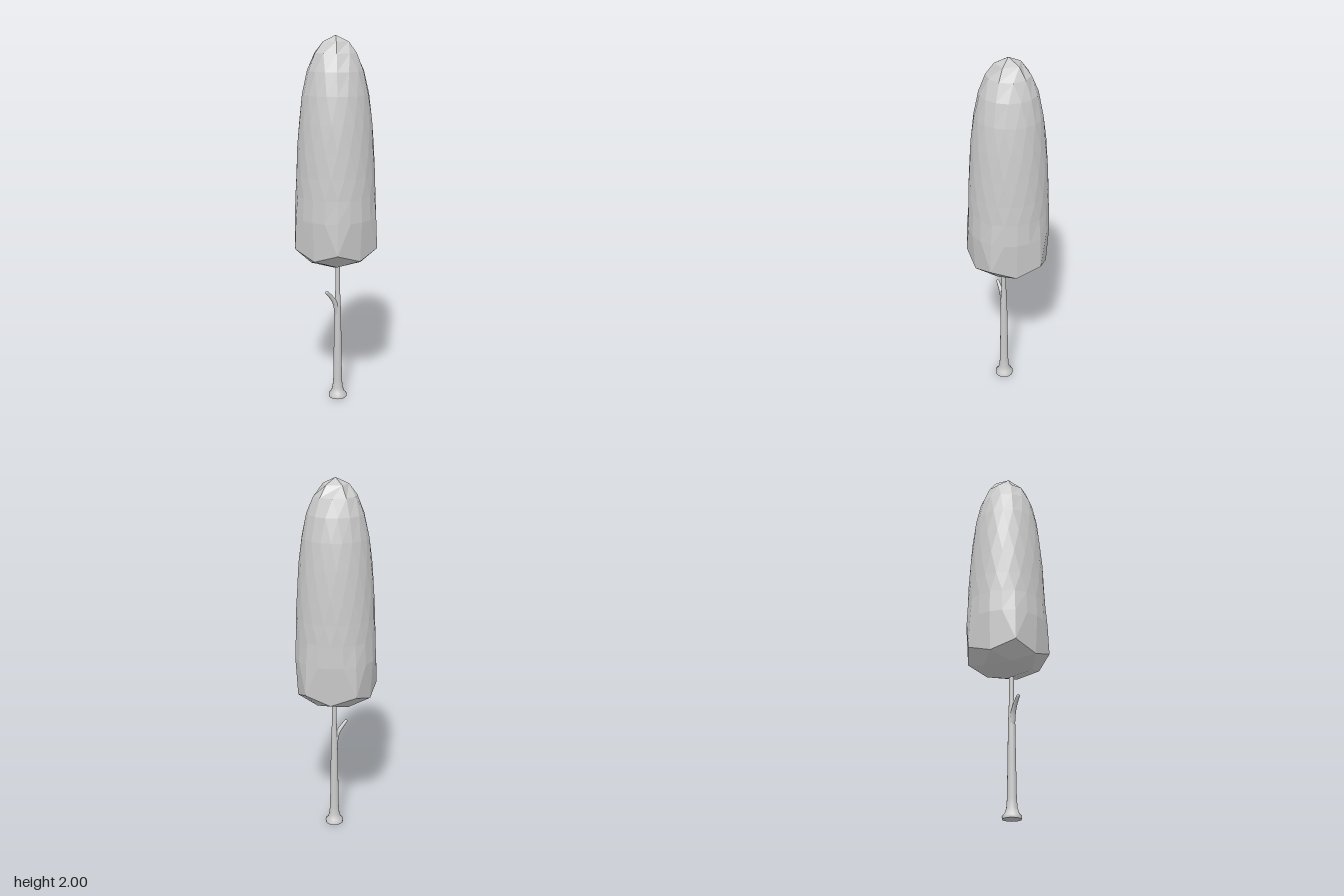
import * as THREE from 'three';

const DEG = Math.PI / 180;

// Joins stacked rings (top to bottom) of any point counts; all points are [angle, r, y].
function stitchRings(rings) {
  const out = [];
  const at = (ring, i) => {
    const n = ring.length, [a, r, y] = ring[i % n];
    return { a: a + 360 * Math.floor(i / n), r, p: [r * Math.cos(a * DEG), y, r * Math.sin(a * DEG)] };
  };
  const tri = (...v) => {
    if (v.filter((q) => q.r === 0).length < 2) v.forEach((q) => out.push(...q.p));
  };
  for (let k = 0; k < rings.length - 1; k++) {
    const A = rings[k], B = rings[k + 1];
    let i = 0, j = 0;
    while (i < A.length || j < B.length) {
      const a = at(A, i), b = at(B, j), a2 = at(A, i + 1), b2 = at(B, j + 1);
      if (j < B.length && (i >= A.length || b2.a <= a2.a + 1e-6)) {
        tri(b, a, b2);
        j++;
      } else {
        tri(a, a2, b);
        i++;
      }
    }
  }
  const geo = new THREE.BufferGeometry();
  geo.setAttribute('position', new THREE.Float32BufferAttribute(out, 3));
  geo.computeVertexNormals();
  return geo;
}

function ring(n, offset, rule) {
  return Array.from({ length: n }, (_, i) => [36 + offset + (i * 360) / n, ...rule(i)]);
}

export function createModel() {
  const group = new THREE.Group();
  const bark = new THREE.MeshStandardMaterial({ color: 0xcccccc });
  const leaf = new THREE.MeshStandardMaterial({ color: 0xcccccc, flatShading: true });
  const add = (name, geo, mat) => {
    const mesh = new THREE.Mesh(geo, mat);
    mesh.name = name;
    group.add(mesh);
    return mesh;
  };

  // Crown: faceted dome whose lower end swells into five corners
  const dome = [
    [5, 0, 2], [5, 0.07, 1.967], [10, 0.113, 1.91], [15, 0.149, 1.82], [20, 0.175, 1.7],
    [20, 0.192, 1.56], [20, 0.203, 1.42], [20, 0.21, 1.28], [20, 0.214, 1.17],
  ];
  const rings = dome.map(([n, r, y], k) => ring(n, k > 3 && k % 2 ? 9 : 0, () => [r, y]));
  rings.push(
    ring(20, 0, (i) => [i % 4 ? 0.219 : 0.224, 1.05]),
    ring(10, 0, (i) => (i % 2 ? [0.206, 0.836] : [0.231, 0.882])),
    ring(5, 0, () => [0.14, 0.797]),
    ring(5, 0, () => [0, 0.752]),
  );
  add('crown', stitchRings(rings), leaf);

  // Trunk: flared foot, slimmer above the branch
  const profile = [
    [0, 0.005], [0.05, 0.005], [0.05, 0.005], [0.051, 0.02], [0.038, 0.035], [0.029, 0.06],
    [0.025, 0.11], [0.022, 0.3], [0.019, 0.5], [0.016, 0.58], [0.013, 0.64], [0.012, 0.85],
  ].map(([r, y]) => new THREE.Vector2(r, y));
  add('trunk', new THREE.LatheGeometry(profile, 14), bark).position.set(0.027, 0, 0.007);

  // Branch stub: a tapering tube with a rounded tip, leaning forward
  const path = new THREE.CatmullRomCurve3([
    new THREE.Vector3(0.027, 0.49, 0.008),
    new THREE.Vector3(0.027, 0.56, 0.025),
    new THREE.Vector3(0.025, 0.6, 0.05),
    new THREE.Vector3(0.024, 0.632, 0.08),
  ]);
  const segs = 10, sides = 10;
  const branch = new THREE.TubeGeometry(path, segs, 1, sides);
  const pos = branch.attributes.position, v = new THREE.Vector3();
  for (let i = 0; i < pos.count; i++) {
    const t = Math.floor(i / (sides + 1)) / segs;
    const c = path.getPointAt(t);
    v.fromBufferAttribute(pos, i).sub(c).multiplyScalar(0.017 - 0.008 * t).add(c);
    pos.setXYZ(i, v.x, v.y, v.z);
  }
  add('branch', branch, bark);
  add('branchTip', new THREE.SphereGeometry(0.009, 10, 8), bark).position.copy(path.getPointAt(1));

  return group;
}
